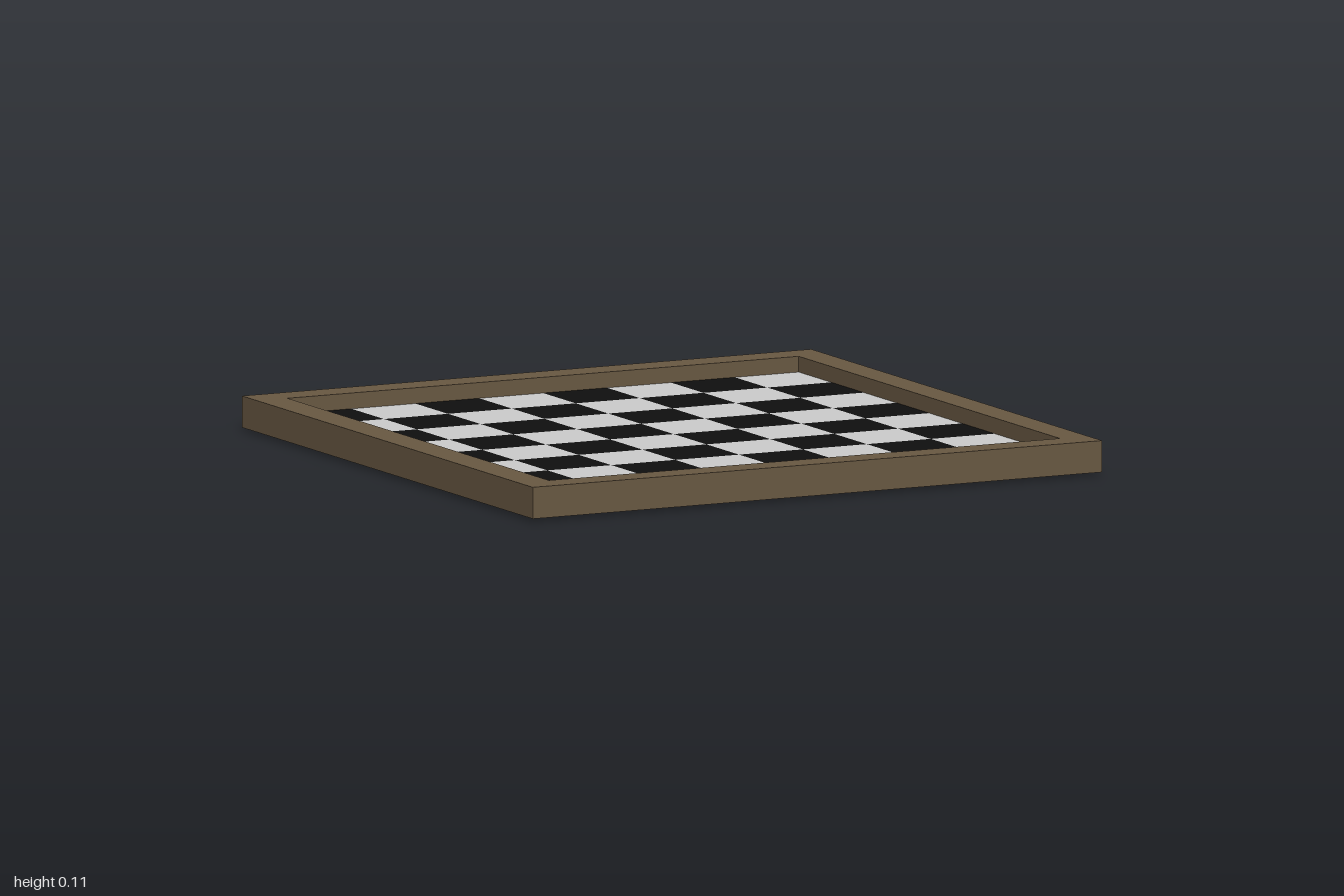
import * as THREE from 'three';

const FLOOR = 0.06;    // height of the playing surface
const FIELD = 1.796;   // width of the playing field
const OFFSET = 0.004;  // small shift of the field inside the frame

export function createModel() {
  const model = new THREE.Group();
  model.name = 'checkerboard';
  const wood = new THREE.MeshStandardMaterial({ color: 0x685842 });
  const light = new THREE.MeshStandardMaterial({ color: 0xcccccc });
  const dark = new THREE.MeshStandardMaterial({ color: 0x0f0f0f });

  const add = (name, geometry, material, x, y, z, parent = model) => {
    const mesh = new THREE.Mesh(geometry, material);
    mesh.name = name;
    mesh.position.set(x, y, z);
    parent.add(mesh);
    return mesh;
  };

  // Square wooden frame with an opening for the field
  const h = FIELD / 2;
  const outline = new THREE.Shape([[-1, -1], [1, -1], [1, 1], [-1, 1]].map(([x, y]) => new THREE.Vector2(x, y)));
  outline.holes.push(new THREE.Path([[-h, -h], [-h, h], [h, h], [h, -h]]
    .map(([x, y]) => new THREE.Vector2(x * 1 + OFFSET, y * 1 - OFFSET))));
  const frame = new THREE.ExtrudeGeometry(outline, { depth: 0.1, bevelEnabled: false });
  frame.rotateX(-Math.PI / 2);
  add('frame', frame, wood, 0, 0.01, 0);

  // Base slab, standing slightly below the frame
  const slab = FLOOR - 0.001;
  add('base', new THREE.BoxGeometry(FIELD, slab, FIELD), light, OFFSET, slab / 2, OFFSET);

  // Alternating squares, dark in the back right corner
  const squares = new THREE.Group();
  squares.name = 'squares';
  model.add(squares);
  const step = FIELD / 8;
  const tile = new THREE.PlaneGeometry(step, step).rotateX(-Math.PI / 2);
  for (let row = 0; row < 8; row++) {
    for (let col = 0; col < 8; col++) {
      const isDark = (row + col) % 2 === 0;
      add(isDark ? 'darkSquare' : 'lightSquare', tile, isDark ? dark : light,
        OFFSET + (col - 3.5) * step, FLOOR, OFFSET + (row - 3.5) * step, squares);
    }
  }
  return model;
}
